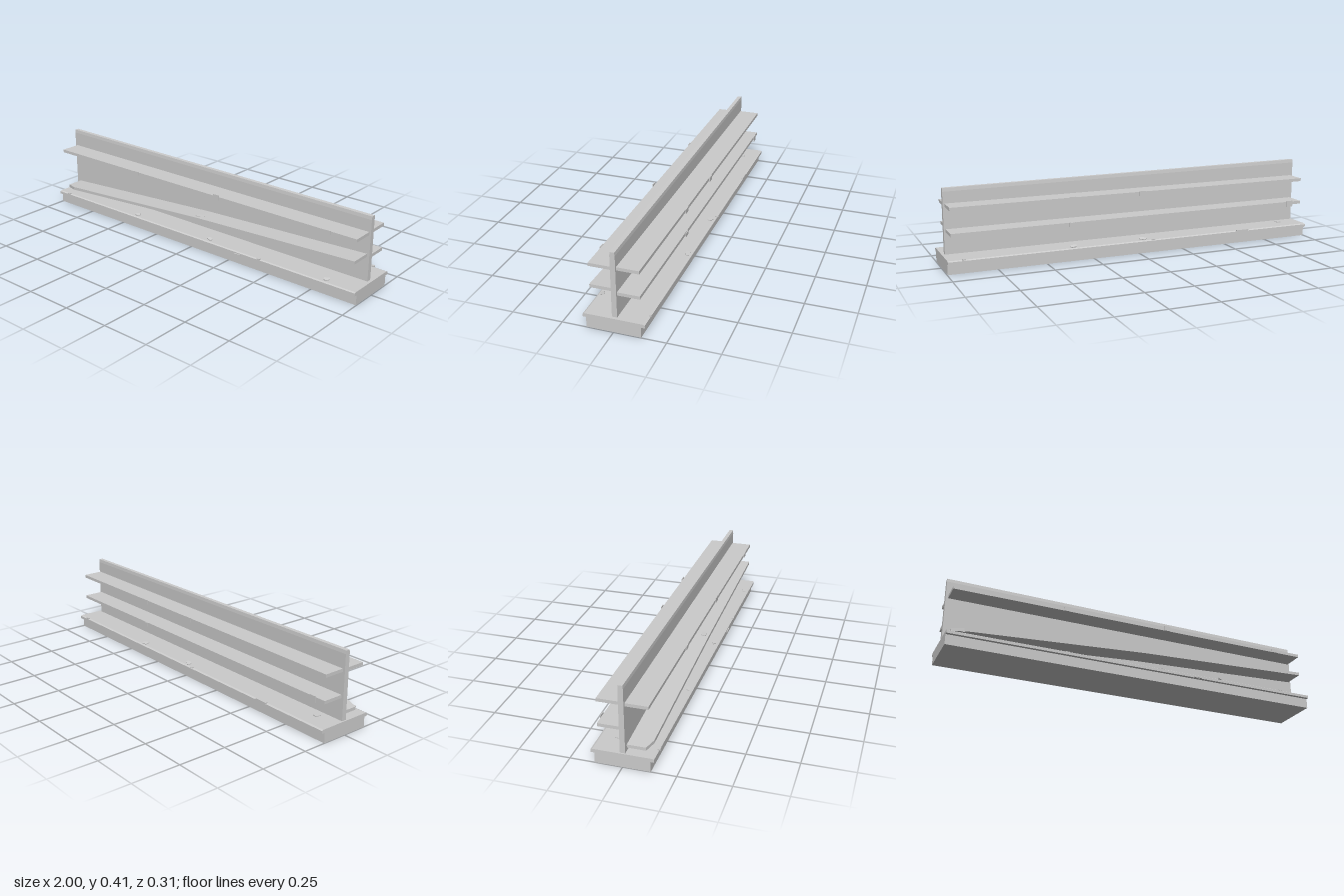
import * as THREE from 'three';

const material = new THREE.MeshStandardMaterial({ color: 0xcccccc, flatShading: true });

// Extrude a [z, y] cross-section along x from x0 to x1
function extrudeX(profile, x0, x1) {
  const shape = new THREE.Shape(profile.map(([z, y]) => new THREE.Vector2(-z, y)));
  const geo = new THREE.ExtrudeGeometry(shape, { depth: x1 - x0, bevelEnabled: false });
  geo.rotateY(Math.PI / 2);
  return geo.translate(x0, 0, 0);
}

// Move each vertex by a rule
function warp(geo, rule) {
  const p = geo.attributes.position;
  const v = new THREE.Vector3();
  for (let i = 0; i < p.count; i++) {
    rule(v.fromBufferAttribute(p, i));
    p.setXYZ(i, v.x, v.y, v.z);
  }
  geo.computeVertexNormals();
  return geo;
}

export function createModel() {
  const model = new THREE.Group();
  const add = (name, geo) => {
    const mesh = new THREE.Mesh(geo, material);
    mesh.name = name;
    model.add(mesh);
    return mesh;
  };

  // Plinth with an overhanging top edge
  add('base', extrudeX([
    [-0.131, 0], [0.131, 0], [0.131, 0.052], [0.147, 0.052], [0.147, 0.066],
    [0.14, 0.07], [-0.14, 0.07], [-0.149, 0.066], [-0.149, 0.052], [-0.131, 0.052],
  ], -1, 0.998));

  // Centre panel, its top narrowed and sloping down towards +x
  add('backPanel', warp(extrudeX([
    [-0.013, 0.07], [0.012, 0.07], [0.012, 0.395], [0.01, 0.412], [-0.011, 0.412], [-0.013, 0.395],
  ], -0.993, 0.983), (v) => {
    if (v.y > 0.3) v.y -= (v.x + 1) * 0.007;
  }));

  // Level shelves: [name, bottom, top, inner z, outer z]
  for (const [name, y0, y1, zIn, zOut] of [
    ['frontUpperShelf', 0.304, 0.32, 0.012, 0.12],
    ['backUpperShelf', 0.307, 0.323, -0.013, -0.12],
    ['backLowerShelf', 0.18, 0.196, -0.013, -0.12],
  ]) {
    const geo = new THREE.BoxGeometry(1.955, y1 - y0, Math.abs(zOut - zIn));
    add(name, geo).position.set(-0.003, (y0 + y1) / 2, (zIn + zOut) / 2);
  }

  // Collapsed front shelf: bent in the middle, low at -x, with a clipped corner
  const sagY = (x) => (x < 0.03 ? 0.16 + (x - 0.03) * 0.066 : 0.16 + (x - 0.03) * 0.044);
  const fallen = new THREE.BoxGeometry(1.94, 0.016, 0.108, 2, 1, 2);
  add('fallenShelf', warp(fallen, (v) => {
    if (v.z === 0) v.z = 0.035;
    if (v.x < -0.9 && v.z > 0.05) v.x += 0.06;
    if (v.x === 0) v.x = 0.03;
    v.y += sagY(v.x);
    v.z += 0.066;
  }));

  // Irregular flat chips: [x, y, z, length, width, turn, tilt]
  const chipShape = new THREE.Shape([
    [-0.5, -0.3], [0.1, -0.5], [0.5, -0.2], [0.4, 0.4], [-0.3, 0.5],
  ].map(([x, y]) => new THREE.Vector2(x, y)));
  const chipGeo = new THREE.ExtrudeGeometry(chipShape, { depth: 1, bevelEnabled: false })
    .rotateX(-Math.PI / 2).translate(0, -0.5, 0);
  for (const [x, y, z, length, width, turn, tilt] of [
    [-0.39, 0.076, 0.125, 0.034, 0.02, 0.3, 0.25],
    [0.12, 0.077, 0.123, 0.034, 0.02, -0.2, 0.3],
    [0.83, 0.077, 0.123, 0.034, 0.02, 0.4, 0.3],
    [0.36, 0.076, -0.128, 0.04, 0.024, 0.2, -0.25],
    [-0.02, 0.077, -0.126, 0.04, 0.024, -0.3, -0.3],
    [-0.07, 0.073, -0.145, 0.02, 0.02, 0.5, 0],
    [-0.88, 0.073, -0.057, 0.03, 0.034, 0.1, 0],
    [0.03, sagY(0.03) + 0.009, 0.09, 0.05, 0.03, 0.2, 0],
  ]) {
    const chip = add('chip', chipGeo);
    chip.position.set(x, y, z);
    chip.rotation.set(tilt, turn, 0);
    chip.scale.set(length, 0.004, width);
  }

  // Small clips along the plinth edges: [x, y, z]
  for (const [x, y, z] of [
    [-0.92, 0.072, 0.147], [0.45, 0.072, 0.147], [0.32, 0.057, 0.146],
    [0.92, 0.072, -0.147], [-0.6, 0.07, -0.145],
  ]) {
    const length = x === -0.6 ? 0.07 : x === 0.32 ? 0.04 : 0.016;
    add('edgeClip', new THREE.BoxGeometry(length, 0.007, 0.012)).position.set(x, y, z);
  }

  // Label holders on the shelf edges: [x, y, z, height]
  for (const [x, y, z, height] of [
    [-0.4, 0.313, 0.122, 0.02], [0.16, 0.317, 0.122, 0.026], [0.82, 0.313, 0.122, 0.02],
    [0.36, 0.315, -0.124, 0.024], [-0.02, 0.315, -0.124, 0.024],
    [-0.91, 0.186, -0.124, 0.032], [0.36, 0.186, -0.124, 0.02],
  ]) {
    add('labelHolder', new THREE.BoxGeometry(0.035, height, 0.004)).position.set(x, y, z);
  }

  return model;
}
